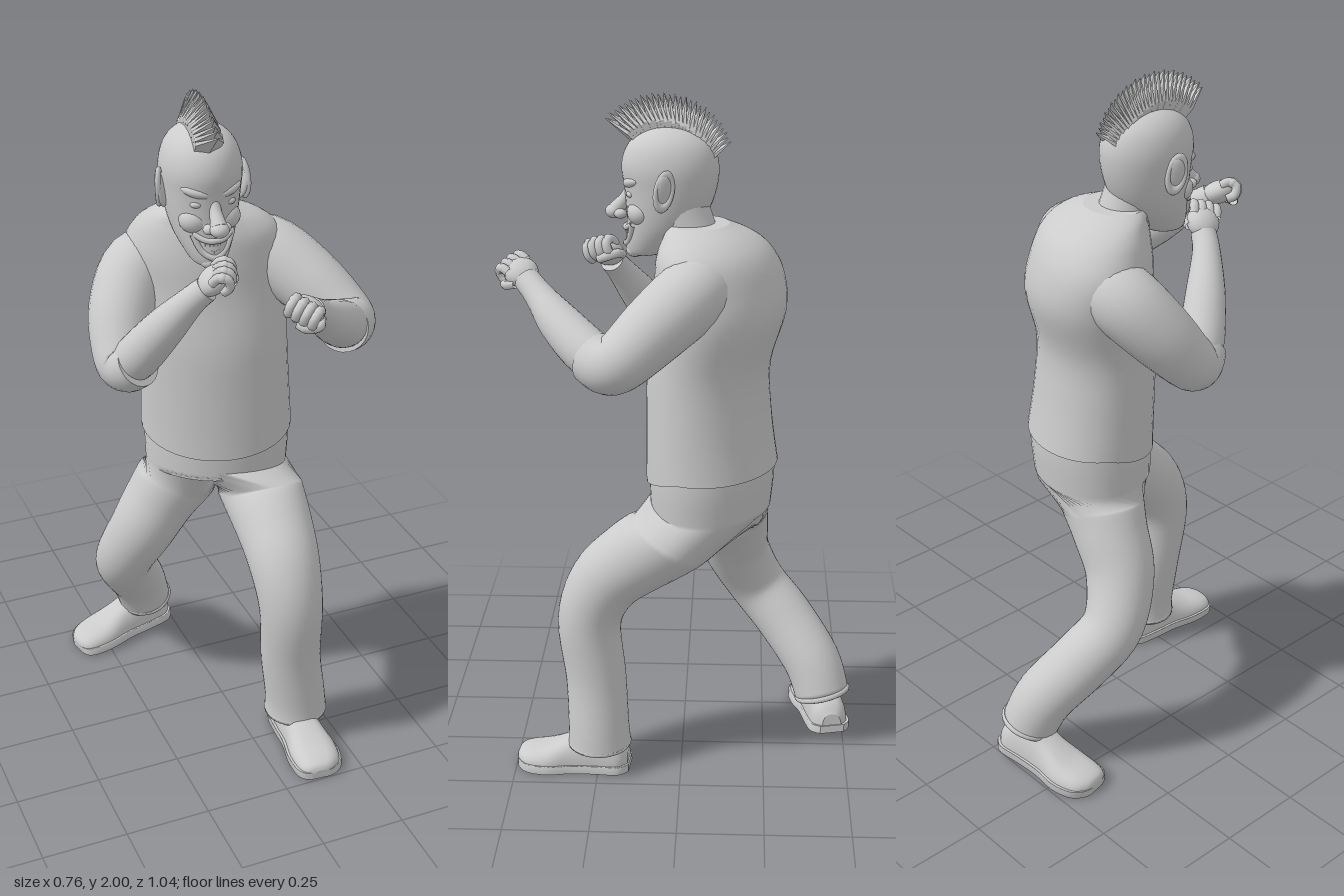
import * as THREE from 'three';
import { mergeGeometries, mergeVertices } from 'three/addons/utils/BufferGeometryUtils.js';

const mat = new THREE.MeshStandardMaterial({ color: 0xcccccc, side: THREE.DoubleSide });
const V = (x, y, z) => new THREE.Vector3(x, y, z);

function add(parent, name, geo, pos = [0, 0, 0], scale = [1, 1, 1], rot = [0, 0, 0]) {
  const m = new THREE.Mesh(geo, mat);
  m.name = name;
  m.position.set(...pos);
  m.scale.set(...scale);
  m.rotation.set(...rot);
  parent.add(m);
}

// Catmull-Rom through rows of numbers, n steps per span
function smooth(rows, n = 5) {
  const out = [], at = i => rows[Math.min(Math.max(i, 0), rows.length - 1)];
  for (let i = 0; i < rows.length - 1; i++)
    for (let k = 0; k < n; k++) {
      const t = k / n;
      out.push(rows[i].map((b, j) => {
        const a = at(i - 1)[j], c = at(i + 1)[j], d = at(i + 2)[j];
        return b + 0.5 * t * (c - a + t * (2 * a - 5 * b + 4 * c - d + t * (3 * (b - c) + d - a)));
      }));
    }
  out.push(rows[rows.length - 1]);
  return out;
}

// Skin over closed rings of points, with optional flat caps at start and end
function loft(rings, caps = [true, true]) {
  const pos = [], idx = [], n = rings[0].length;
  rings.forEach(r => r.forEach(p => pos.push(p.x, p.y, p.z)));
  for (let i = 0; i < rings.length - 1; i++)
    for (let j = 0; j < n; j++) {
      const a = i * n + j, b = i * n + (j + 1) % n;
      idx.push(a, b, a + n, b, b + n, a + n);
    }
  [rings[0], rings[rings.length - 1]].forEach((r, end) => {
    if (!caps[end]) return;
    const base = pos.length / 3, c = V(0, 0, 0);
    r.forEach(p => { pos.push(p.x, p.y, p.z); c.addScaledVector(p, 1 / n); });
    pos.push(c.x, c.y, c.z);
    for (let j = 0; j < n; j++) {
      const a = base + j, b = base + (j + 1) % n;
      end ? idx.push(a, b, base + n) : idx.push(b, a, base + n);
    }
  });
  const g = new THREE.BufferGeometry();
  g.setAttribute('position', new THREE.Float32BufferAttribute(pos, 3));
  g.setIndex(idx);
  g.computeVertexNormals();
  return g;
}

// Rings along a limb, rows of [x, y, z, radius]; level turns the last rings towards horizontal
function limbRings(rows, seg = 24, u = V(1, 0.02, 0.3), level = 0) {
  const s = smooth(rows);
  return s.map((r, i) => {
    const p = s[Math.max(i - 1, 0)], q = s[Math.min(i + 1, s.length - 1)];
    const w = level * Math.max(0, 1 - (s.length - 1 - i) / 5);
    const t = V(q[0] - p[0], q[1] - p[1], q[2] - p[2]).normalize().lerp(V(0, 1, 0), w).normalize();
    u.addScaledVector(t, -u.dot(t)).normalize();
    const v = t.clone().cross(u);
    return Array.from({ length: seg }, (_, j) => {
      const a = j / seg * Math.PI * 2;
      return V(r[0], r[1], r[2]).addScaledVector(u, r[3] * Math.cos(a)).addScaledVector(v, r[3] * Math.sin(a));
    });
  });
}
const limb = rows => loft(limbRings(rows));

// Upright body rings, rows of [y, centre x, centre z, half width, half depth, yaw]; dip lowers the first ring in front
function bodyRings(rows, dip = 0, seg = 40) {
  return smooth(rows).map((r, i) => Array.from({ length: seg }, (_, j) => {
    const a = j / seg * Math.PI * 2, z = r[4] * Math.cos(a), x = r[3] * Math.sin(a);
    const c = Math.cos(r[5]), s = Math.sin(r[5]);
    return V(r[1] + x * c - z * s, r[0] - (i === 0 ? dip * Math.max(0, Math.cos(a)) : 0), r[2] + x * s + z * c);
  }));
}

const ball = new THREE.SphereGeometry(1, 24, 16);
const tube = (pts, r) => new THREE.TubeGeometry(new THREE.CatmullRomCurve3(pts.map(p => V(...p))), 16, r, 8);

// Clenched hand, knuckles along +z
function fist(name, pos, dir, roll) {
  const g = new THREE.Group();
  g.name = name;
  add(g, 'palm', ball, [0, 0, -0.01], [0.048, 0.034, 0.05]);
  for (let i = 0; i < 4; i++) {
    const x = (i - 1.5) * 0.023, l = 0.04 - Math.abs(i - 1.3) * 0.004;
    add(g, 'finger', tube([[x, 0.015, 0], [x, 0.018, l - 0.008], [x, -0.002, l + 0.008], [x, -0.024, l - 0.006], [x, -0.026, 0.005]], 0.0135));
    add(g, 'knuckle', ball, [x, 0.013, l], [0.0145, 0.0145, 0.0145]);
  }
  add(g, 'thumb', tube([[0.04, -0.005, -0.03], [0.05, -0.022, 0.005], [0.025, -0.038, 0.025], [0, -0.038, 0.022]], 0.013));
  g.position.set(...pos);
  g.lookAt(pos[0] + dir[0], pos[1] + dir[1], pos[2] + dir[2]);
  g.rotateZ(roll);
  return g;
}

// Shoe with its heel at the origin and toe along +z; rows are [z, half width, height, centre x]
function shoe(name, side) {
  const g = new THREE.Group();
  g.name = name;
  const rows = smooth([[0, 0.03, 0.06, 0], [0.03, 0.055, 0.1, 0], [0.1, 0.058, 0.13, 0], [0.17, 0.06, 0.1, 0.004],
    [0.24, 0.072, 0.07, 0.008], [0.3, 0.066, 0.056, 0.006], [0.33, 0.045, 0.045, 0], [0.34, 0.02, 0.03, 0]]);
  const layer = (grow, y0, h) => loft(rows.map(r => Array.from({ length: 24 }, (_, j) => {
    const a = j / 24 * Math.PI * 2, s = Math.sin(a), x = Math.sign(Math.cos(a)) * Math.abs(Math.cos(a)) ** 0.7;
    return V(r[3] * side + x * (r[1] + grow), y0 + (h ? (s > 0 ? h : 0) : Math.max(0, s) * (r[2] - y0)), r[0] * (1 + grow) - grow / 2);
  })));
  add(g, 'shoeUpper', layer(0, 0.02, 0));
  add(g, 'shoeSole', layer(0.008, 0, 0.024));
  return g;
}

// Kite-shaped hair plate, folded back along its middle and thinning to the tip
function tuftGeometry() {
  const g = new THREE.BoxGeometry(2, 1, 1, 2, 2, 1), p = g.attributes.position;
  for (let i = 0; i < p.count; i++) {
    const h = p.getY(i) + 0.5, x = p.getX(i) * [0.031, 0.038, 0][Math.round(h * 2)];
    p.setXYZ(i, x, h * 0.145, p.getZ(i) * 0.018 * (1 - 0.85 * h) - Math.abs(x) * 0.4);
  }
  const flat = g.toNonIndexed();
  flat.computeVertexNormals();
  return flat;
}

function makeHead() {
  const g = new THREE.Group();
  g.name = 'head';
  add(g, 'skull', loft(bodyRings([[1.545, 0, 0.12, 0.022, 0.025, 0], [1.555, 0, 0.105, 0.045, 0.054, 0], [1.585, 0, 0.084, 0.064, 0.08, 0],
    [1.63, 0, 0.06, 0.084, 0.1, 0], [1.68, 0, 0.044, 0.097, 0.117, 0], [1.74, 0, 0.036, 0.106, 0.13, 0], [1.8, 0, 0.037, 0.11, 0.137, 0],
    [1.85, 0, 0.037, 0.099, 0.124, 0], [1.885, 0, 0.037, 0.076, 0.094, 0], [1.907, 0, 0.037, 0.042, 0.052, 0], [1.914, 0, 0.037, 0.005, 0.006, 0]])));
  // Snub nose and grinning mouth
  add(g, 'noseBridge', limb([[0, 1.735, 0.152, 0.013], [0, 1.705, 0.166, 0.017], [0, 1.675, 0.19, 0.023]]));
  add(g, 'noseTip', ball, [0, 1.669, 0.196], [0.026, 0.021, 0.026]);
  add(g, 'upperLip', tube([[-0.055, 1.644, 0.138], [-0.025, 1.628, 0.158], [0, 1.626, 0.165], [0.025, 1.628, 0.158], [0.055, 1.644, 0.138]], 0.008));
  add(g, 'lowerLip', tube([[-0.055, 1.642, 0.138], [-0.032, 1.595, 0.15], [0, 1.578, 0.164], [0.032, 1.595, 0.15], [0.055, 1.642, 0.138]], 0.009));
  for (let i = -3; i <= 3; i++) {
    const z = 0.159 - i * i * 0.0016;
    add(g, 'upperTooth', new THREE.BoxGeometry(0.0095, 0.014, 0.01), [i * 0.011, 1.617 + i * i * 0.0006, z]);
    add(g, 'lowerTooth', new THREE.BoxGeometry(0.008, 0.012, 0.01), [i * 0.009, 1.592 + i * i * 0.0015, z]);
  }
  add(g, 'chin', ball, [0, 1.56, 0.138], [0.034, 0.022, 0.026]);
  for (const s of [-1, 1]) {
    add(g, 'nostril', ball, [s * 0.023, 1.666, 0.176], [0.016, 0.014, 0.018]);
    add(g, 'cheek', ball, [s * 0.044, 1.675, 0.118], [0.042, 0.036, 0.036], [0, s * 0.4, 0]);
    add(g, 'eye', ball, [s * 0.043, 1.727, 0.141], [0.02, 0.011, 0.015]);
    add(g, 'brow', ball, [s * 0.042, 1.76, 0.137], [0.044, 0.017, 0.026], [0, s * 0.45, s * 0.22]);
    add(g, 'ear', ball, [s * 0.113, 1.745, 0.045], [0.012, 0.052, 0.028], [0, s * 0.45, s * -0.18]);
    add(g, 'earRim', new THREE.TorusGeometry(0.026, 0.008, 8, 24), [s * 0.117, 1.75, 0.043], [0.9, 1.75, 1], [0, Math.PI / 2 + s * 0.4, s * -0.18]);
  }
  // Fan of hair plates
  const tuft = tuftGeometry(), N = 28;
  for (let i = 0; i < N; i++) {
    const t = i / (N - 1), a = 0.66 + t * 2.02, r = 0.085 - 0.045 * t + (i % 2) * 0.004;
    add(g, 'mohawkTuft', tuft, [-0.012 + 0.014 * t, 1.785 + r * Math.sin(a), 0.037 + r * Math.cos(a)], [1, 1, 1], [Math.PI / 2 - a, 0, 0]);
  }
  g.position.x = -0.075;
  g.rotation.y = -0.06;
  return g;
}

// Trousers in one skin: the waist splits into two legs along a sagging crotch line
function trousersGeometry(legs) {
  const waist = bodyRings([[0.82, 0.016, -0.085, 0.21, 0.166, 0.42], [0.91, 0.018, -0.087, 0.214, 0.172, 0.45], [0.98, 0.018, -0.088, 0.213, 0.172, 0.48]], -0.04);
  const parts = [loft(waist, [false, true])];
  legs.forEach((rows, k) => {
    const hip = waist[0].map((p, j) => {
      const a = j / 40 * Math.PI * 2, s = Math.sin(a) * (k ? -1 : 1);
      if (s > -1e-6) return p;
      const c = waist[0][0].clone().lerp(waist[0][20], (1 - Math.cos(a)) / 2);
      c.y += s * 0.09;
      return c;
    });
    parts.push(loft([...limbRings(rows, 40, V(-0.3, 0, 1), 0.5), hip], [true, false]));
  });
  const g = mergeGeometries(parts);
  g.deleteAttribute('normal');
  const skin = mergeVertices(g, 1e-4);
  skin.computeVertexNormals();
  return skin;
}

export function createModel() {
  const g = new THREE.Group();
  g.name = 'fighter';

  // Shirt: body turned so the left shoulder leads
  add(g, 'shirt', loft(bodyRings([[0.955, 0.018, -0.088, 0.223, 0.179, 0.49], [1.1, 0.01, -0.078, 0.217, 0.169, 0.46], [1.25, 0.003, -0.077, 0.215, 0.165, 0.45],
    [1.4, -0.002, -0.107, 0.232, 0.174, 0.48], [1.5, -0.012, -0.105, 0.23, 0.165, 0.5], [1.57, -0.012, -0.09, 0.206, 0.146, 0.5],
    [1.615, -0.022, -0.072, 0.16, 0.118, 0.45], [1.647, -0.042, -0.045, 0.095, 0.085, 0.3]], 0.05)));
  add(g, 'neck', limb([[-0.045, 1.56, -0.04, 0.078], [-0.055, 1.63, -0.015, 0.076], [-0.065, 1.7, 0.01, 0.078]]));
  g.add(makeHead());

  // Arms
  add(g, 'leftSleeve', limb([[0.04, 1.49, -0.1, 0.085], [0.145, 1.49, -0.035, 0.102], [0.232, 1.425, 0.06, 0.097], [0.298, 1.352, 0.15, 0.083],
    [0.3, 1.335, 0.19, 0.078], [0.265, 1.345, 0.23, 0.074]]));
  add(g, 'leftForearm', limb([[0.3, 1.33, 0.19, 0.062], [0.25, 1.365, 0.255, 0.066], [0.18, 1.42, 0.33, 0.058], [0.115, 1.475, 0.39, 0.041], [0.07, 1.51, 0.43, 0.037]]));
  g.add(fist('leftFist', [0.045, 1.528, 0.455], [-0.5, 0.25, 0.65], -0.4));
  add(g, 'rightSleeve', limb([[-0.08, 1.47, -0.16, 0.085], [-0.19, 1.448, -0.155, 0.1], [-0.265, 1.355, -0.09, 0.094], [-0.298, 1.262, -0.015, 0.08],
    [-0.295, 1.237, 0.025, 0.075], [-0.275, 1.262, 0.065, 0.07]]));
  add(g, 'rightForearm', limb([[-0.295, 1.235, 0.025, 0.06], [-0.27, 1.29, 0.07, 0.064], [-0.22, 1.385, 0.13, 0.056], [-0.165, 1.475, 0.185, 0.04], [-0.13, 1.515, 0.208, 0.036]]));
  g.add(fist('rightFist', [-0.108, 1.548, 0.225], [0.5, 0.5, 0.45], 0.4));

  // Trousers, each leg from hem to hip, left then right
  add(g, 'trousers', trousersGeometry([
    [[0.142, 0.085, 0.246, 0.095], [0.138, 0.15, 0.248, 0.091], [0.118, 0.3, 0.255, 0.09], [0.108, 0.48, 0.272, 0.094],
      [0.106, 0.6, 0.228, 0.104], [0.11, 0.68, 0.145, 0.113], [0.113, 0.755, 0.028, 0.126]],
    [[-0.1, 0.13, -0.435, 0.084], [-0.135, 0.23, -0.4, 0.088], [-0.2, 0.35, -0.31, 0.09], [-0.234, 0.45, -0.225, 0.09],
      [-0.195, 0.58, -0.163, 0.1], [-0.135, 0.69, -0.147, 0.109], [-0.09, 0.755, -0.135, 0.12]],
  ]));
  const cuff = new THREE.TorusGeometry(0.086, 0.01, 8, 32);
  add(g, 'leftCuff', cuff, [0.142, 0.09, 0.246], [1, 1, 1], [Math.PI / 2, 0, 0]);
  add(g, 'rightCuff', cuff, [-0.1, 0.133, -0.435], [0.92, 0.92, 1], [Math.PI / 2 + 0.25, 0.2, 0]);

  // Shoes: left points ahead, right turned out with its heel lifted
  const left = shoe('leftShoe', 1), right = shoe('rightShoe', -1);
  left.position.set(0.145, 0.005, 0.158);
  left.rotation.y = -0.09;
  right.position.set(-0.02, 0.035, -0.465);
  right.rotation.set(0.09, -1.36, 0, 'YXZ');
  g.add(left, right);
  return g;
}
